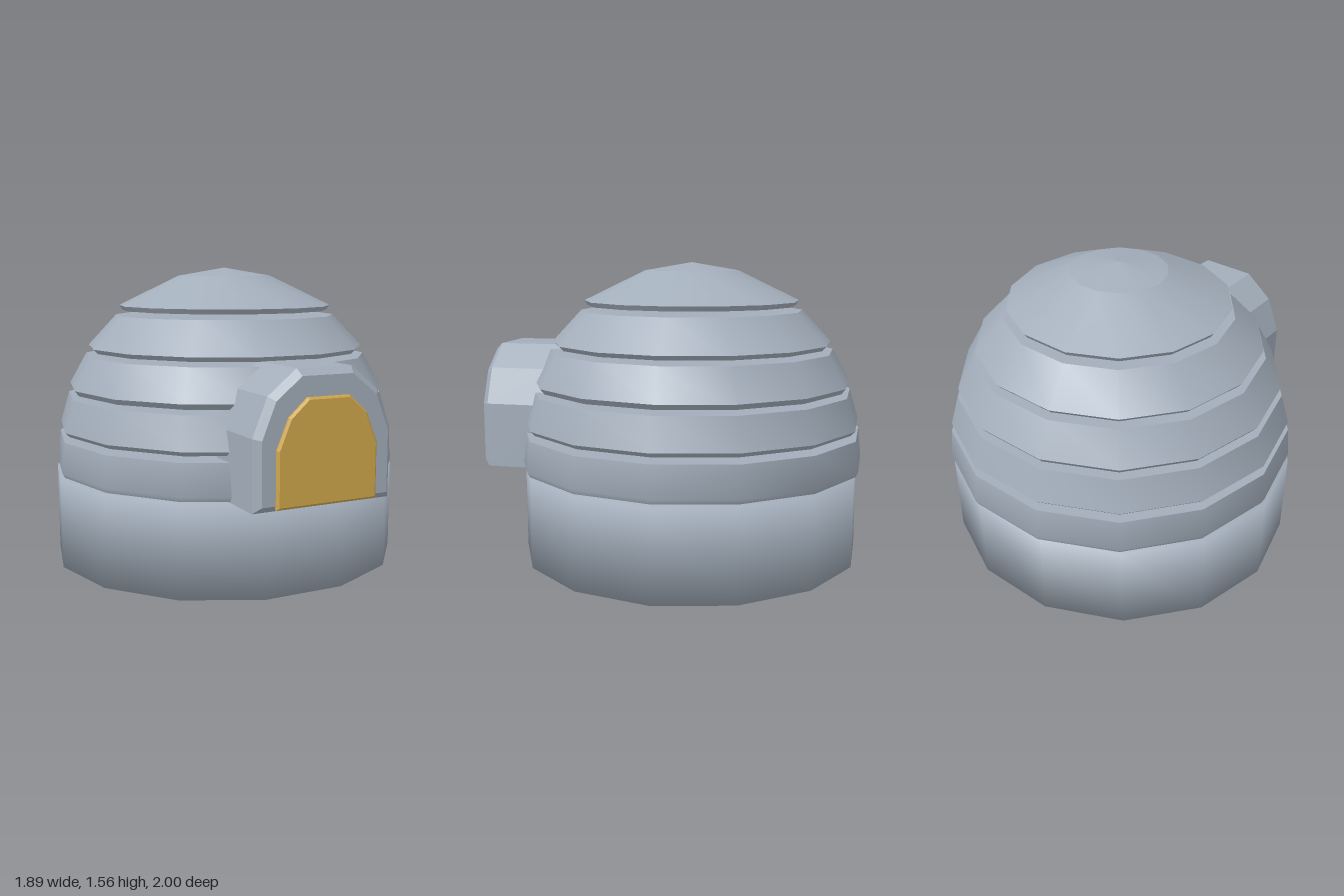
import * as THREE from 'three';
import { toCreasedNormals } from 'three/addons/utils/BufferGeometryUtils.js';

const SIDES = 14;
const CENTRE_Z = -0.09;

// Turned solid from [radius, height] points, with a corner on the +x axis
function turned(points) {
  const profile = points.map(([r, y]) => new THREE.Vector2(r, y));
  return new THREE.LatheGeometry(profile, SIDES, Math.PI / 2);
}

// Arch plate with a chamfered rim; half-outline runs from the foot to the crown
function arch(half, zBack, zFront, bevel, depth) {
  const outline = [
    ...half.map(([x, y]) => new THREE.Vector2(x, y)),
    ...half.slice().reverse().map(([x, y]) => new THREE.Vector2(-x, y)),
  ];
  const geometry = new THREE.ExtrudeGeometry(new THREE.Shape(outline), {
    depth: zFront - zBack - 2 * depth,
    bevelEnabled: true,
    bevelSegments: 1,
    bevelSize: bevel,
    bevelOffset: -bevel,
    bevelThickness: depth,
  });
  geometry.translate(0, 0, zBack + depth);
  return geometry;
}

export function createModel() {
  const stone = new THREE.MeshStandardMaterial({ color: 0xa3aebb });
  stone.name = 'blue grey';
  const amber = new THREE.MeshStandardMaterial({ color: 0xd2a94c });
  amber.name = 'amber';

  const model = new THREE.Group();
  const add = (name, geometry, material, z = 0) => {
    const mesh = new THREE.Mesh(geometry, material);
    mesh.name = name;
    mesh.position.z = z;
    model.add(mesh);
    return mesh;
  };

  // Softly shaded drum, slightly shallower than wide
  const base = add('base', turned([[0, 0], [0.943, 0], [0.943, 0.47], [0, 0.47]]), stone, CENTRE_Z);
  base.scale.z = 0.968;

  // Stacked rings: [lower lip, widest point, upper rim], separated by narrow gaps
  const rings = [
    [[0.922, 0.48], [0.935, 0.505], [0.918, 0.665]],
    [[0.89, 0.692], [0.913, 0.715], [0.865, 0.88]],
    [[0.835, 0.902], [0.857, 0.93], [0.765, 1.095]],
    [[0.73, 1.117], [0.75, 1.14], [0.595, 1.307]],
    [[0.56, 1.333], [0.577, 1.358], [0.25, 1.517]],
  ];
  rings.forEach((ring, i) => {
    const geometry = turned([[0, ring[0][1]], ...ring, [0, ring[2][1]]]);
    const last = i === rings.length - 1;
    add(last ? 'roofRing' : `ring${i + 1}`, toCreasedNormals(geometry, last ? 0.45 : 0.75), stone, CENTRE_Z);
  });

  // Low crown on top
  add('crown', turned([[0.25, 1.517], [0, 1.56]]), stone, CENTRE_Z);

  // Projecting doorway and its door panel
  const porch = [[0.367, 0.475], [0.367, 0.815], [0.292, 1.0], [0.145, 1.118]];
  add('doorway', arch(porch, 0.55, 0.982, 0.032, 0.035), stone);

  const panel = [[0.265, 0.49], [0.265, 0.76], [0.205, 0.905], [0.11, 0.99]];
  add('door', arch(panel, 0.97, 1.0, 0.01, 0.008), amber);

  return model;
}
